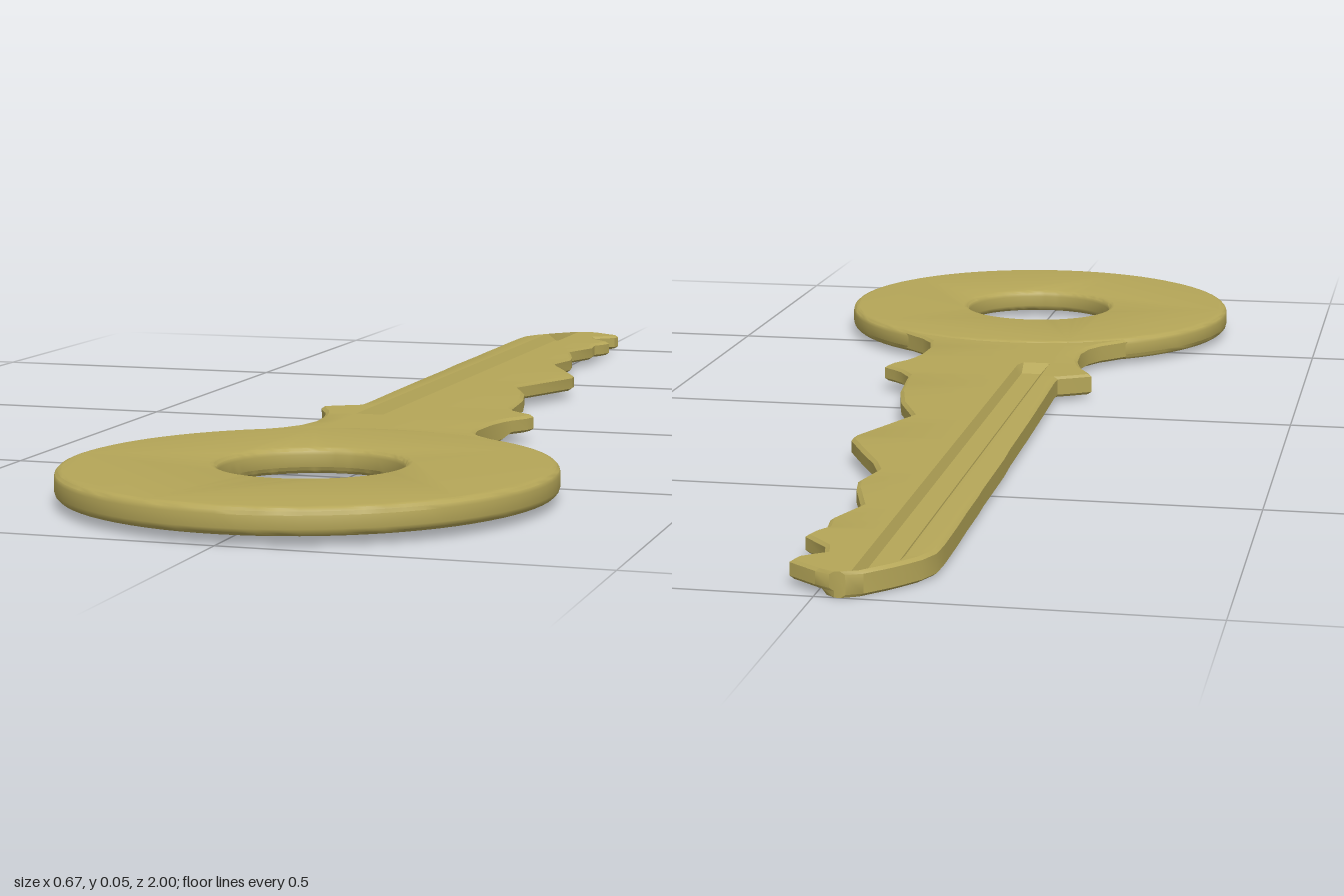
import * as THREE from 'three';
import { toCreasedNormals } from 'three/addons/utils/BufferGeometryUtils.js';

const HALF = 0.0165; // half thickness of the blade

// Outline of neck and blade: z, left edge x, right edge x
const outline = [
  [-1, -0.04, -0.02], [-0.99, -0.06, 0], [-0.96, -0.088, 0.04], [-0.945, -0.1, 0.036],
  [-0.92, -0.118, 0.005], [-0.89, -0.13, 0.012], [-0.85, -0.132, 0.048], [-0.83, -0.132, 0.042],
  [-0.81, -0.132, 0.03], [-0.77, -0.132, 0.035], [-0.7, -0.131, 0.011], [-0.62, -0.131, 0.036],
  [-0.58, -0.13, 0.043], [-0.52, -0.13, 0.03], [-0.48, -0.13, 0.045], [-0.42, -0.13, 0.076],
  [-0.36, -0.128, 0.105], [-0.34, -0.128, 0.106], [-0.2, -0.127, 0.05], [-0.12, -0.126, 0.084],
  [-0.05, -0.125, 0.101], [0, -0.124, 0.106], [0.06, -0.123, 0.112], [0.09, -0.124, 0.13],
  [0.105, -0.15, 0.145], [0.12, -0.174, 0.164], [0.14, -0.166, 0.158], [0.165, -0.152, 0.142],
  [0.185, -0.145, 0.134], [0.22, -0.136, 0.126], [0.28, -0.132, 0.122], [0.32, -0.14, 0.13],
  [0.35, -0.157, 0.15], [0.38, -0.185, 0.18], [0.41, -0.21, 0.21],
];

// Cross-section of the blade: groove on top, raised step below
function section([z, l, r]) {
  const cut = z < 0.17 ? 1 : 0;
  const e = 0.006, c = 0.004, t = HALF, b = -HALF;
  const floor = t - 0.014 * cut, step = b + 0.008 * cut;
  const clamp = x => Math.min(Math.max(x, l + e), r - e);
  return [
    [l, b + c], [l, t - c], [l + e, t],
    [clamp(-0.096), t], [clamp(-0.084), floor], [clamp(-0.053), floor], [clamp(-0.046), t],
    [r - e, t], [r, t - c], [r, step + c], [r - e, step],
    [clamp(-0.008), step], [clamp(-0.014), b], [l + e, b],
  ].map(([x, y]) => [x, y, z]);
}

function bladeGeometry() {
  const rings = outline.map(section);
  const n = rings[0].length, last = (rings.length - 1) * n;
  const index = [];
  for (let k = 0; k < rings.length - 1; k++) {
    for (let i = 0; i < n; i++) {
      const a = k * n + i, b = k * n + (i + 1) % n;
      index.push(a, a + n, b, b, a + n, b + n);
    }
  }
  // End caps
  for (let i = 1; i < n - 1; i++) {
    index.push(0, i, i + 1, last, last + i + 1, last + i);
  }
  const g = new THREE.BufferGeometry();
  g.setAttribute('position', new THREE.Float32BufferAttribute(rings.flat(2), 3));
  g.setIndex(index);
  return g;
}

// Round bow with a hole, edges rounded over
function bowGeometry() {
  const bevel = 0.01, thick = 0.037;
  const shape = new THREE.Shape().absarc(0, 0, 0.335 - bevel, 0, Math.PI * 2, false);
  shape.holes.push(new THREE.Path().absarc(0, 0.012, 0.125 + bevel, 0, Math.PI * 2, true));
  const g = new THREE.ExtrudeGeometry(shape, {
    depth: thick - 2 * bevel, bevelEnabled: true, bevelSize: bevel,
    bevelThickness: bevel, bevelSegments: 3, curveSegments: 40,
  });
  g.translate(0, 0, bevel - thick / 2);
  g.rotateX(-Math.PI / 2);
  g.translate(0, 0, 0.663);
  return g;
}

// The key rests slightly tilted, tip down
function tilt(g) {
  const p = g.attributes.position;
  for (let i = 0; i < p.count; i++) {
    p.setY(i, p.getY(i) + 0.0245 + 0.007 * p.getZ(i) + 0.003 * p.getX(i));
  }
  return g;
}

export function createModel() {
  const group = new THREE.Group();
  group.name = 'key';
  const brass = new THREE.MeshStandardMaterial({ color: 0xb5a658 });
  const parts = { blade: bladeGeometry(), bow: bowGeometry() };
  for (const [name, geometry] of Object.entries(parts)) {
    const mesh = new THREE.Mesh(toCreasedNormals(tilt(geometry), 0.6), brass);
    mesh.name = name;
    group.add(mesh);
  }
  return group;
}
